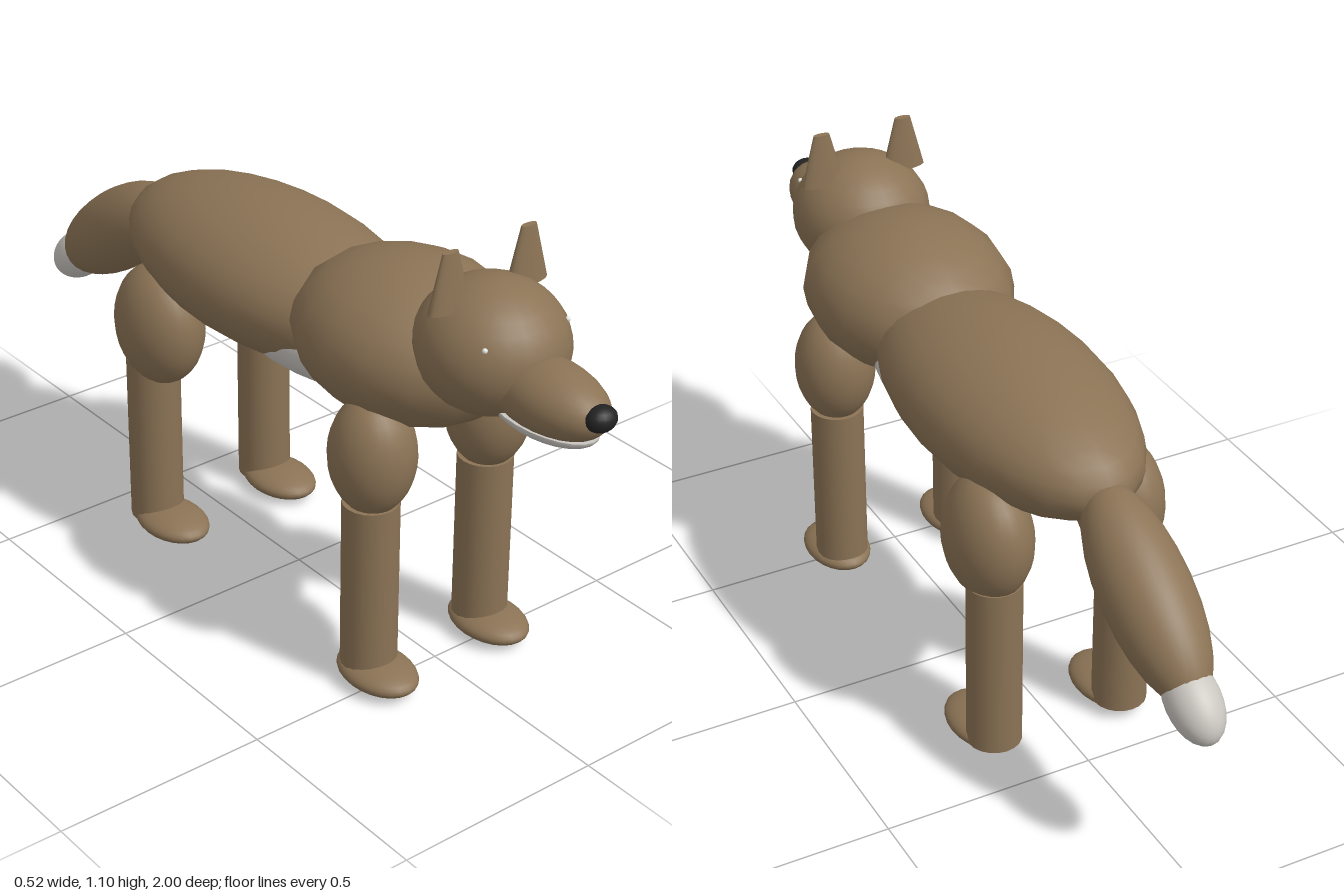
import * as THREE from 'three';

const mat = (name, color) => Object.assign(new THREE.MeshStandardMaterial({ color }), { name });

export function createModel() {
  const fur = mat('brownFur', 0x8b7355);
  const pale = mat('paleFur', 0xc9c5bf);
  const dark = mat('noseBlack', 0x222222);
  const eyeColor = mat('eyeWhite', 0xe6e6e0);
  const model = new THREE.Group();
  model.name = 'foxLikeAnimal';

  const add = (name, geo, material, pos) => {
    const mesh = new THREE.Mesh(geo, material);
    mesh.name = name;
    mesh.position.set(...pos);
    model.add(mesh);
    return mesh;
  };
  const blob = (name, material, pos, radii, w = 24, h = 16) => {
    const mesh = add(name, new THREE.SphereGeometry(1, w, h), material, pos);
    mesh.scale.set(...radii);
    return mesh;
  };

  // Torso
  blob('body', fur, [0, 0.745, -0.1], [0.23, 0.16, 0.47]);
  blob('chest', fur, [0, 0.78, 0.39], [0.24, 0.175, 0.29], 16, 12);
  blob('belly', pale, [0, 0.7, 0.1], [0.18, 0.116, 0.34]);

  // Head and muzzle
  blob('head', fur, [0, 0.865, 0.645], [0.165, 0.147, 0.17]);
  blob('snout', fur, [0, 0.82, 0.82], [0.09, 0.076, 0.16]);
  blob('nose', dark, [0, 0.833, 0.97], [0.037, 0.028, 0.03], 16, 12);

  // Lower jaw: half ellipsoid closed by a flat top
  const jaw = new THREE.SphereGeometry(1, 24, 8, 0, Math.PI * 2, Math.PI / 2, Math.PI / 2);
  add('jaw', jaw, pale, [0, 0.772, 0.81]).scale.set(0.076, 0.04, 0.145);
  const lip = add('jawTop', new THREE.CircleGeometry(1, 24), pale, [0, 0.772, 0.81]);
  lip.rotation.x = -Math.PI / 2;
  lip.scale.set(0.076, 0.145, 1);

  // Tail, sloping down and back
  const slope = -0.62;
  blob('tail', fur, [0, 0.605, -0.715], [0.1, 0.1, 0.26]).rotation.x = slope;
  blob('tailTip', pale, [0, 0.46, -0.911], [0.06, 0.06, 0.1]).rotation.x = slope;

  for (const [side, s] of [['left', 1], ['right', -1]]) {
    // Flattened tapered ears and small eyes
    add(side + 'Ear', new THREE.CylinderGeometry(0.02, 0.054, 0.128, 16), fur, [s * 0.105, 1.032, 0.628])
      .scale.z = 0.42;
    blob(side + 'Eye', eyeColor, [s * 0.112, 0.926, 0.748], [0.006, 0.006, 0.006], 10, 8);

    // Legs: muscle, shank and paw
    const legs = [
      ['Front', [0.575, 0.465], [0.096, 0.14, 0.1], 0.463, 0.495],
      ['Back', [0.56, -0.321], [0.096, 0.15, 0.127], -0.353, -0.29],
    ];
    for (const [end, [y, z], radii, shankZ, pawZ] of legs) {
      blob(side + end + 'UpperLeg', fur, [s * 0.163, y, z], radii);
      add(side + end + 'LowerLeg', new THREE.CylinderGeometry(0.064, 0.064, 0.43, 20), fur, [s * 0.163, 0.243, shankZ]);
      blob(side + end + 'Paw', fur, [s * 0.163, 0.033, pawZ], [0.077, 0.033, 0.11]);
    }
  }
  return model;
}
